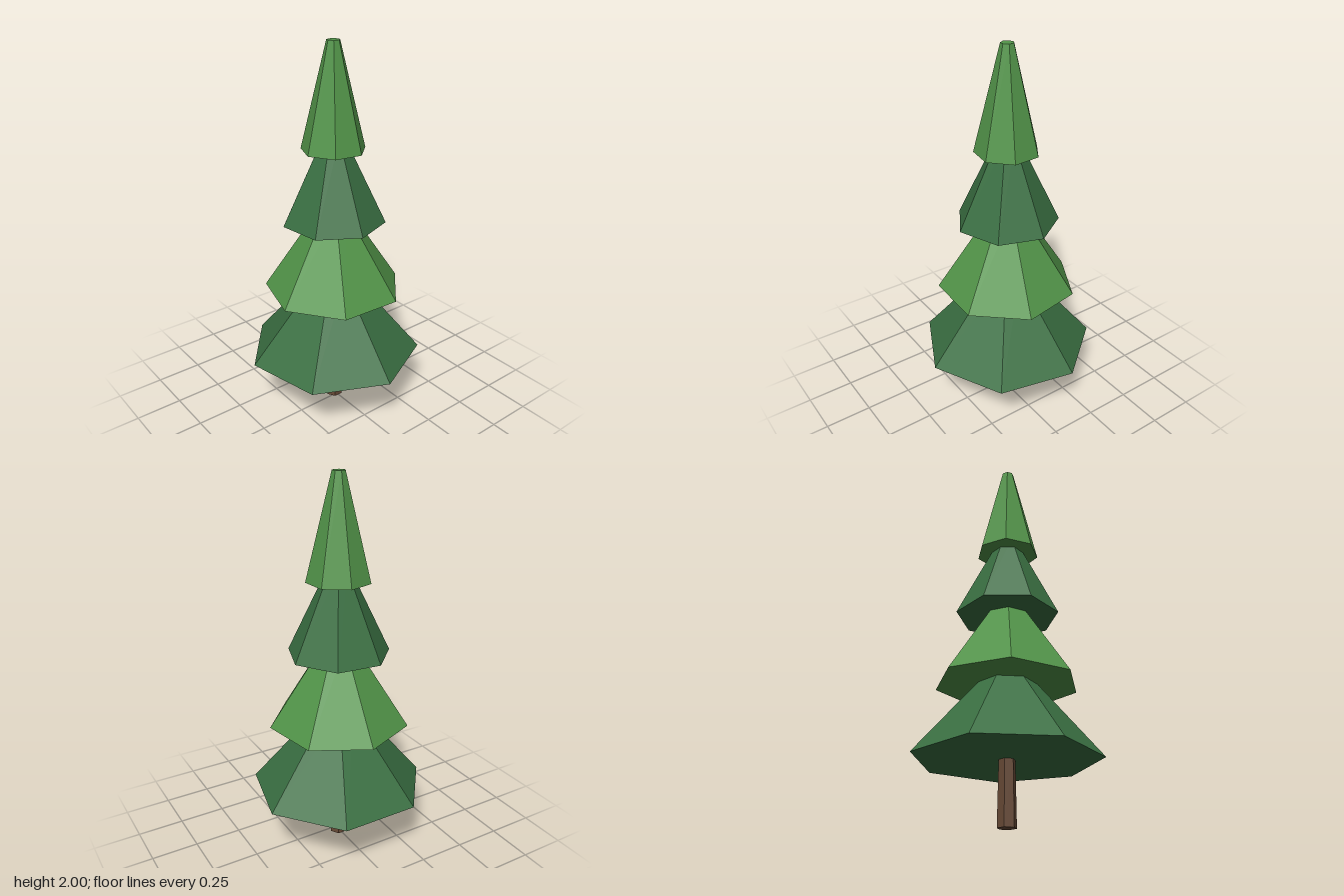
import * as THREE from 'three';

export function createModel() {
  const tree = new THREE.Group();
  tree.name = 'pineTree';
  const makeMaterial = (name, color) => {
    const material = new THREE.MeshStandardMaterial({ color });
    material.name = name;
    material.flatShading = true;
    return material;
  };
  const bark = makeMaterial('bark', 0x674a36);
  const darkGreen = makeMaterial('darkGreen', 0x3a6f42);
  const lightGreen = makeMaterial('lightGreen', 0x529449);

  const axisX = -0.025; // the seven-sided tiers are offset so the outline is centred

  const addPart = (name, geometry, material, baseY, height) => {
    const mesh = new THREE.Mesh(geometry, material);
    mesh.name = name;
    mesh.position.set(axisX, baseY + height / 2, 0);
    tree.add(mesh);
  };

  // Tapered six-sided trunk, ending just inside the lowest tier
  addPart('trunk', new THREE.CylinderGeometry(0.041, 0.048, 0.36, 6), bark, 0, 0.36);

  // Foliage tiers, each turned half a radian from the one below
  const tiers = [
    { radius: 0.472, base: 0.32, height: 0.45 },
    { radius: 0.37, base: 0.7, height: 0.45 },
    { radius: 0.27, base: 1.085, height: 0.45 },
    { radius: 0.167, base: 1.465, height: 0.535 },
  ];
  tiers.forEach(({ radius, base, height }, i) => {
    const geometry = new THREE.CylinderGeometry(
      radius * 0.2, radius, height, 7, 1, false, Math.PI / 2 - i * 0.5);
    addPart(`foliageTier${i + 1}`, geometry, i % 2 ? lightGreen : darkGreen, base, height);
  });

  return tree;
}
